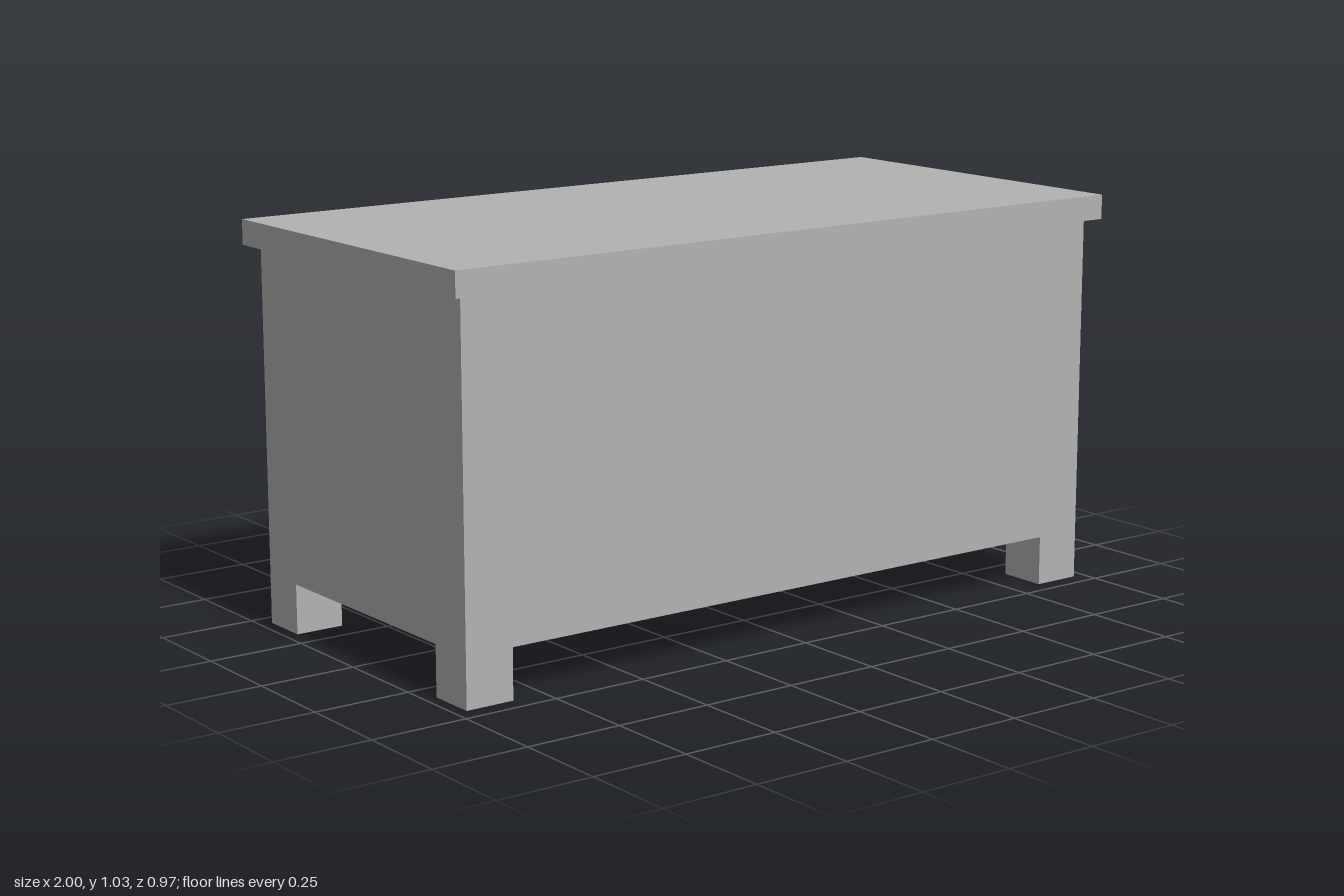
import * as THREE from 'three';

export function createModel() {
  const chest = new THREE.Group();
  chest.name = 'chest';
  const grey = new THREE.MeshStandardMaterial({ color: 0xb2b2b2 });
  grey.name = 'grey';

  // Box given by its size, centre x and z, and bottom height
  function addBox(name, w, h, d, x, bottom, z) {
    const mesh = new THREE.Mesh(new THREE.BoxGeometry(w, h, d), grey);
    mesh.name = name;
    mesh.position.set(x, bottom + h / 2, z);
    chest.add(mesh);
  }

  const footHeight = 0.129, bodyTop = 0.968, lidHeight = 0.064;
  const bodyWidth = 1.935, bodyDepth = 0.905, foot = 0.129;

  // Body and overhanging lid
  addBox('body', bodyWidth, bodyTop - footHeight, bodyDepth, 0, footHeight, 0);
  addBox('lid', 2, lidHeight, 0.968, 0, bodyTop, 0);

  // Square feet, flush with the body corners
  for (const sx of [-1, 1]) {
    for (const sz of [-1, 1]) {
      const name = (sz > 0 ? 'front' : 'back') + (sx > 0 ? 'Left' : 'Right') + 'Foot';
      addBox(name, foot, footHeight, foot, sx * (bodyWidth - foot) / 2, 0, sz * (bodyDepth - foot) / 2);
    }
  }
  return chest;
}
